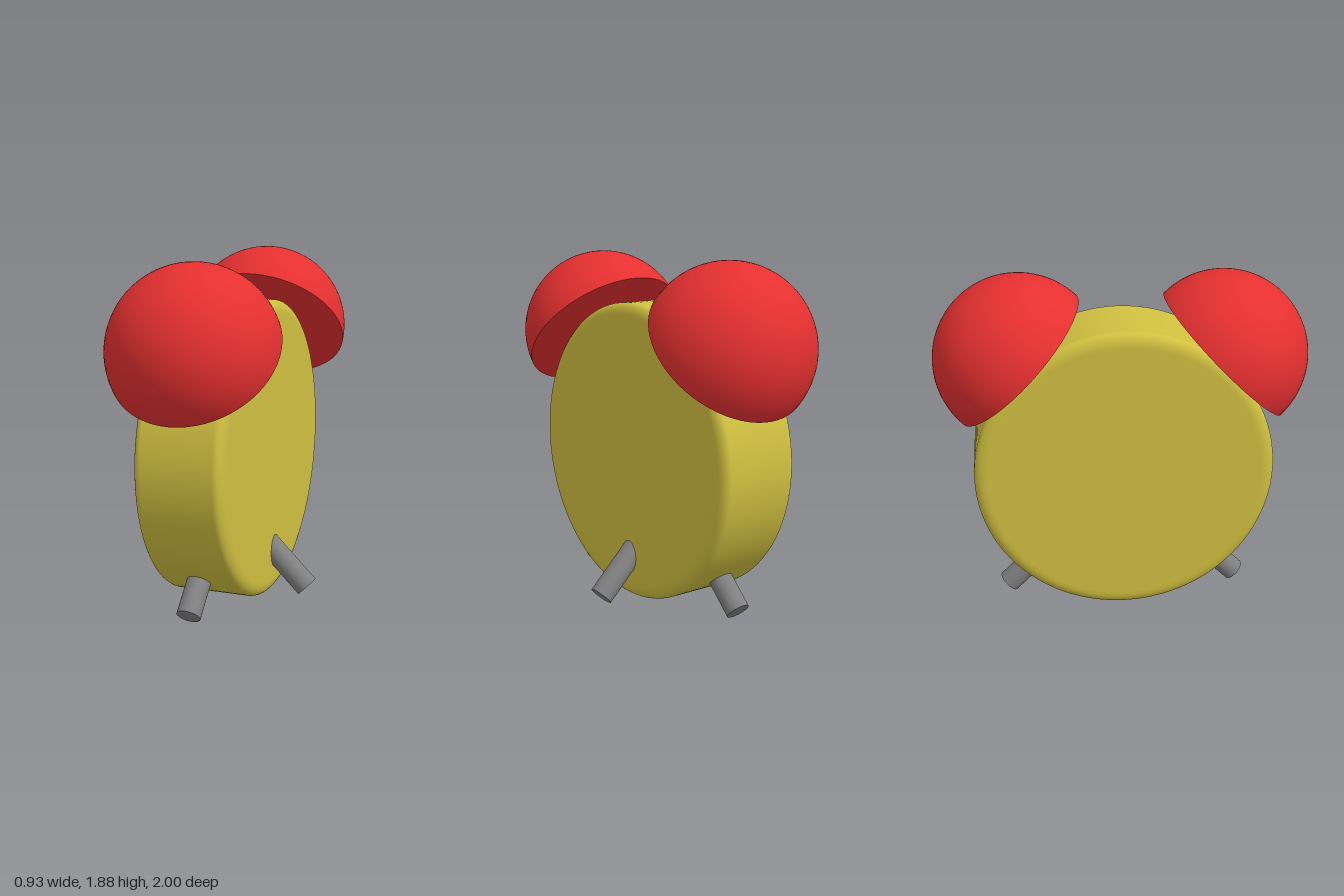
import * as THREE from 'three';

const CX = -0.013; // x of the case's middle plane

export function createModel() {
  const model = new THREE.Group();
  model.name = 'alarmClock';
  const yellow = new THREE.MeshStandardMaterial({ color: 0xd0c040 });
  const red = new THREE.MeshStandardMaterial({ color: 0xe53030 });
  const grey = new THREE.MeshStandardMaterial({ color: 0x808080 });

  // Round case: a drum with softly rounded rims, lying along x
  const R = 0.81, H = 0.242, rimR = 0.07, rimH = 0.045, steps = 8;
  const half = [];
  for (let i = 0; i <= steps; i++) {
    const a = (i / steps) * Math.PI / 2;
    half.push([R - rimR + rimR * Math.sin(a), H - rimH + rimH * Math.cos(a)]);
  }
  const flat = [[0, H], [R - rimR - 0.01, H]];
  const upper = [...flat, ...half, [R, H - rimH - 0.01]];
  const profile = [
    ...upper.map(([r, y]) => new THREE.Vector2(r, -y)),
    ...upper.slice().reverse().map(([r, y]) => new THREE.Vector2(r, y)),
  ];
  const body = new THREE.Mesh(new THREE.LatheGeometry(profile, 96), yellow);
  body.name = 'case';
  body.rotation.z = -Math.PI / 2;
  body.position.set(CX, 0.825, 0);
  model.add(body);

  // Two closed half-dome bells resting on the case, tilted 45 degrees
  const bellR = 0.454;
  for (const [name, side, y] of [['frontBell', 1, 1.418], ['backBell', -1, 1.43]]) {
    const bell = new THREE.Group();
    bell.name = name;
    const dome = new THREE.Mesh(
      new THREE.SphereGeometry(bellR, 64, 24, 0, Math.PI * 2, 0, Math.PI / 2), red);
    dome.name = name + 'Dome';
    const base = new THREE.Mesh(new THREE.CircleGeometry(bellR, 64).rotateX(Math.PI / 2), red);
    base.name = name + 'Base';
    bell.add(dome, base);
    bell.rotation.x = side * Math.PI / 4;
    bell.position.set(CX - 0.002, y, side * 0.547);
    model.add(bell);
  }

  // Pegs: each runs from its outer end up into the case at 45 degrees
  const addPeg = (name, end, inward, length) => {
    const geometry = new THREE.CylinderGeometry(0.064, 0.064, length, 32).translate(0, length / 2, 0);
    const peg = new THREE.Mesh(geometry, grey);
    peg.name = name;
    peg.position.set(...end);
    peg.quaternion.setFromUnitVectors(
      new THREE.Vector3(0, 1, 0), new THREE.Vector3(...inward).normalize());
    model.add(peg);
  };
  addPeg('frontLeg', [CX, 0.054, 0.655], [0, 1, -1], 0.4);
  addPeg('backLeg', [CX, 0.054, -0.648], [0, 1, 1], 0.4);
  addPeg('sideLeg', [0.418, 0.052, -0.012], [-1, 1, 0], 0.42);

  return model;
}
